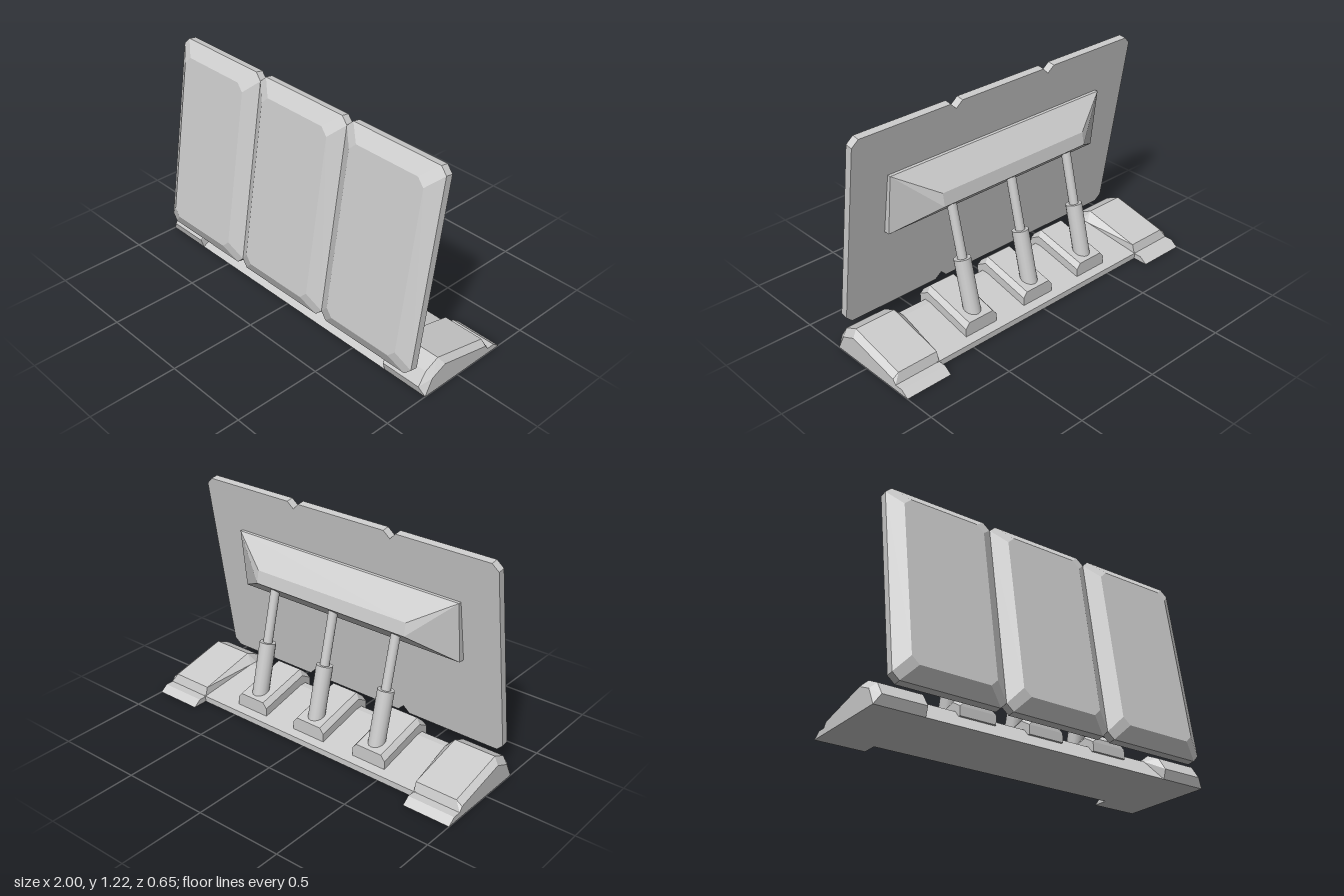
import * as THREE from 'three';
import { ConvexGeometry } from 'three/addons/geometries/ConvexGeometry.js';

const grey = new THREE.MeshStandardMaterial({ color: 0xcccccc, flatShading: true });
const smoothGrey = new THREE.MeshStandardMaterial({ color: 0xcccccc });

// Faceted solid spanned by corner points
function solid(name, points) {
  const mesh = new THREE.Mesh(new ConvexGeometry(points), grey);
  mesh.name = name;
  return mesh;
}

// Side profile of [z, y] pairs placed at each given x
function atX(profile, ...xs) {
  return xs.flatMap((x) => profile.map(([z, y]) => new THREE.Vector3(x, y, z)));
}

// Rectangle with cut corners, lying in a plane of constant z
function cutRect(cx, halfW, y0, y1, cut, z) {
  const points = [];
  for (const s of [-1, 1]) {
    for (const [dx, y] of [[0, y0 + cut], [cut, y0], [0, y1 - cut], [cut, y1]]) {
      points.push(new THREE.Vector3(cx + s * (halfW - dx), y, z));
    }
  }
  return points;
}

// Cylinder running between two points in the plane x = const
function rod(name, radius, x, [z0, y0], [z1, y1]) {
  const a = new THREE.Vector3(x, y0, z0);
  const b = new THREE.Vector3(x, y1, z1);
  const dir = b.clone().sub(a);
  const mesh = new THREE.Mesh(new THREE.CylinderGeometry(radius, radius, dir.length(), 16), smoothGrey);
  mesh.name = name;
  mesh.position.copy(a).add(b).multiplyScalar(0.5);
  mesh.quaternion.setFromUnitVectors(new THREE.Vector3(0, 1, 0), dir.normalize());
  return mesh;
}

export function createModel() {
  const model = new THREE.Group();
  model.name = 'blastShield';

  // Three bevelled panels, leaning back
  const shield = new THREE.Group();
  shield.name = 'shield';
  shield.position.set(0, 0.113, 0.246);
  shield.rotation.x = -0.1585;
  const height = 1.116;
  const bevel = 0.077;
  for (let i = -1; i <= 1; i++) {
    const cx = i * 0.626;
    shield.add(solid('shieldPanel', [
      ...cutRect(cx, 0.313, 0, height, 0.037, 0),
      ...cutRect(cx, 0.313, 0, height, 0.037, 0.042),
      ...cutRect(cx, 0.313 - bevel, bevel, height - bevel, 0.04, 0.0914),
    ]));
  }
  model.add(shield);

  // Tapered bracket on the back of the panels
  model.add(solid('bracketPlate',
    atX([[0.114, 0.945], [0.094, 0.945], [0.133, 0.605], [0.169, 0.605]], -0.72, 0.72)));
  model.add(solid('bracket', [
    ...atX([[0.094, 0.945], [0.133, 0.605]], -0.72, 0.72),
    ...atX([[-0.016, 0.81], [-0.029, 0.738]], -0.49, 0.49),
  ]));

  // Low sloping middle of the base
  model.add(solid('baseMiddle',
    atX([[0.236, 0], [0.14, 0.113], [0.1, 0.113], [-0.235, 0.034], [-0.235, 0]], -0.74, 0.74)));

  // End blocks with a rear foot
  for (const s of [-1, 1]) {
    model.add(solid('baseEnd', [
      ...atX([[0.236, 0], [0.19, 0.09], [0.1, 0.13], [-0.214, 0.058], [-0.233, 0.032], [-0.233, 0]], s),
      ...atX([[0.252, 0.052], [0.204, 0.123], [0.12, 0.162], [-0.217, 0.084]], s * 0.967, s * 0.727),
      ...atX([[0.236, 0], [-0.233, 0.032], [-0.233, 0]], s * 0.727),
      ...atX([[0.14, 0.113], [0.1, 0.113]], s * 0.682),
    ]));
    model.add(solid('rearFoot',
      atX([[-0.2, 0], [-0.2, 0.032], [-0.28, 0.032], [-0.323, 0]], s, s * 0.727)));
  }

  // Pads and hydraulic struts
  for (const x of [-0.405, 0, 0.405]) {
    model.add(solid('strutPad', [
      ...atX([[0.18, 0.08], [0.18, 0.13], [0.115, 0.168], [-0.188, 0.092], [-0.188, 0.04]], x - 0.104, x + 0.104),
      ...atX([[0.178, 0.152], [0.123, 0.198], [-0.188, 0.122]], x - 0.08, x + 0.08),
    ]));
    model.add(rod('strutSleeve', 0.046, x, [-0.13, 0.08], [-0.048, 0.415]));
    model.add(rod('strutRod', 0.026, x, [-0.055, 0.39], [0.032, 0.745]));
  }

  return model;
}
